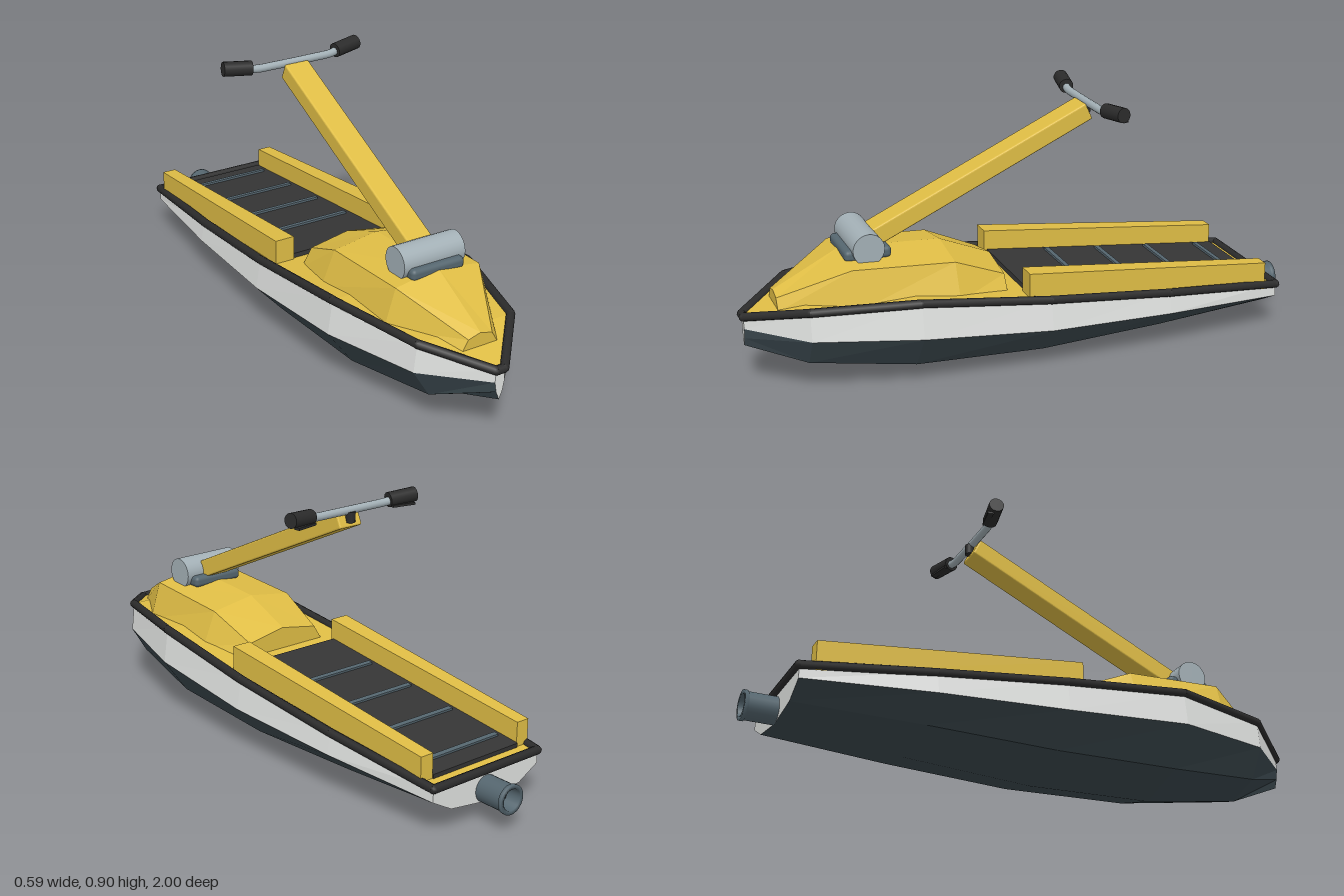
import * as THREE from 'three';
import { RoundedBoxGeometry } from 'three/addons/geometries/RoundedBoxGeometry.js';

const mat = (name, color, extra = {}) => {
  const m = new THREE.MeshStandardMaterial({ color, ...extra });
  m.name = name;
  return m;
};

// Skin through cross-sections ordered front to back, points counter-clockwise seen from +z.
function loft(sections, { closed = true, caps = true, skin = true } = {}) {
  const pos = [];
  const tri = (...pts) => pts.forEach((p) => pos.push(...p));
  const n = sections[0].length;
  if (skin) {
    for (let i = 0; i < sections.length - 1; i++) {
      for (let j = 0; j < (closed ? n : n - 1); j++) {
        const k = (j + 1) % n;
        const [a, b, c, d] = [sections[i][j], sections[i][k], sections[i + 1][k], sections[i + 1][j]];
        tri(a, c, b);
        tri(a, d, c);
      }
    }
  }
  if (caps) {
    const f = sections[0], r = sections[sections.length - 1];
    for (let j = 1; j < n - 1; j++) {
      tri(f[0], f[j], f[j + 1]);
      tri(r[0], r[j + 1], r[j]);
    }
  }
  const g = new THREE.BufferGeometry();
  g.setAttribute('position', new THREE.Float32BufferAttribute(pos, 3));
  g.computeVertexNormals();
  return g;
}

export function createModel() {
  const root = new THREE.Group();
  root.name = 'waterScooter';

  const yellow = mat('yellow', 0xdfbd45, { flatShading: true });
  const hullDark = mat('hullDark', 0x3b484e, { flatShading: true });
  const hullLight = mat('hullLight', 0xdfe1df, { flatShading: true });
  const black = mat('rubberBlack', 0x2b2b2b);
  const matGrey = mat('matGrey', 0x353535);
  const steel = mat('steel', 0xa3b0b6);
  const slate = mat('slate', 0x55666f);

  const add = (name, geo, material, x = 0, y = 0, z = 0, parent = root) => {
    const m = new THREE.Mesh(geo, material);
    m.name = name;
    m.position.set(x, y, z);
    parent.add(m);
    return m;
  };
  const V = (x, y, z) => new THREE.Vector3(x, y, z);
  // Cylinder between two points
  const rod = (name, a, b, r, material, sides = 16) => {
    const d = b.clone().sub(a);
    const m = add(name, new THREE.CylinderGeometry(r, r, d.length(), sides), material);
    m.position.copy(a).addScaledVector(d, 0.5);
    m.quaternion.setFromUnitVectors(V(0, 1, 0), d.normalize());
    return m;
  };

  // Hull stations: z, keel y, bilge x y, chine x y, deck edge x y
  const stations = [
    [0.985, 0.155, 0.012, 0.185, 0.018, 0.22, 0.015, 0.262],
    [0.8, 0.075, 0.13, 0.115, 0.19, 0.213, 0.178, 0.312],
    [0.45, 0.02, 0.19, 0.075, 0.283, 0.203, 0.265, 0.324],
    [0, 0.003, 0.2, 0.06, 0.295, 0.166, 0.278, 0.272],
    [-0.45, 0.028, 0.185, 0.072, 0.275, 0.148, 0.262, 0.222],
    [-0.89, 0.065, 0.15, 0.085, 0.23, 0.13, 0.228, 0.175],
  ];
  const strip = (fn) => stations.map(([z, ...s]) => fn(...s).map(([x, y]) => [x, y, z]));
  const open = { closed: false, caps: false };
  add('hullBottom', loft(strip((k, bx, by, cx, cy) =>
    [[-cx, cy], [-bx, by], [0, k], [bx, by], [cx, cy]]), open), hullDark);
  add('hullSideLeft', loft(strip((k, bx, by, cx, cy, dx, dy) => [[cx, cy], [dx, dy]]), open), hullLight);
  add('hullSideRight', loft(strip((k, bx, by, cx, cy, dx, dy) => [[-dx, dy], [-cx, cy]]), open), hullLight);
  add('stemAndTransom', loft(strip((k, bx, by, cx, cy, dx, dy) =>
    [[0, k], [bx, by], [cx, cy], [dx, dy], [-dx, dy], [-cx, cy], [-bx, by]]), { skin: false }), hullLight);
  add('deck', loft(strip((k, bx, by, cx, cy, dx, dy) => [[dx, dy], [-dx, dy]]), open), yellow);

  // Rubber bumper around the deck edge
  const R = 0.015;
  const edge = stations.map((s) => V(s[6], s[7], s[0]));
  const loop = [...edge, ...edge.map((p) => V(-p.x, p.y, p.z)).reverse()];
  loop.forEach((p, i) => {
    rod('bumper', p, loop[(i + 1) % loop.length], R, black, 8);
    add('bumperJoint', new THREE.SphereGeometry(R, 8, 6), black, p.x, p.y, p.z);
  });

  // Hood stations: z, base x y, shoulder x y, ridge y
  const hood = [
    [0.88, 0.068, 0.285, 0.045, 0.325, 0.338],
    [0.65, 0.2, 0.3, 0.16, 0.43, 0.456],
    [0.3, 0.215, 0.29, 0.165, 0.41, 0.436],
    [0.12, 0.185, 0.27, 0.145, 0.335, 0.362],
  ];
  add('hood', loft(hood.map(([z, bx, by, sx, sy, ry]) =>
    [[-bx, by], [bx, by], [sx, sy], [0, ry], [-sx, sy]].map(([x, y]) => [x, y, z]))), yellow);

  // Side rails of the standing tray
  for (const s of [1, -1]) {
    const rail = [[0.07, 0.255, 0.265, 0.366], [-0.84, 0.235, 0.165, 0.265]].map(([z, out, lo, hi]) => {
      const [x0, x1] = s > 0 ? [0.185, out] : [-out, -0.185];
      return [[x0, lo, z], [x1, lo, z], [x1, hi, z], [x0, hi, z]];
    });
    add(s > 0 ? 'railLeft' : 'railRight', loft(rail), yellow);
  }

  // Tray mat with grip strips, sloping with the deck
  const tray = new THREE.Group();
  tray.name = 'tray';
  tray.position.set(0, 0.237, -0.392);
  tray.rotation.x = -Math.atan(0.11);
  root.add(tray);
  add('trayMat', new THREE.BoxGeometry(0.37, 0.016, 0.91), matGrey, 0, 0, 0, tray);
  for (const z of [-0.77, -0.56, -0.36, -0.16]) {
    add('gripStrip', new THREE.BoxGeometry(0.33, 0.009, 0.018), slate, 0, 0.011, z + 0.392, tray);
  }

  // Steering pole on its hinge
  add('hingePlate', new RoundedBoxGeometry(0.2, 0.04, 0.16, 3, 0.015), slate, 0, 0.452, 0.577);
  rod('hinge', V(-0.116, 0.475, 0.58), V(0.116, 0.475, 0.58), 0.054, steel, 24);
  const pole = add('steeringPole', new RoundedBoxGeometry(0.094, 0.062, 0.87, 2, 0.006), yellow, 0, 0.658, 0.165);
  pole.rotation.x = 0.432;

  // Handlebar, grips and levers
  const bar = new THREE.CatmullRomCurve3([
    V(-0.2, 0.875, -0.245), V(-0.15, 0.867, -0.234), V(-0.08, 0.866, -0.232),
    V(0.08, 0.866, -0.232), V(0.15, 0.867, -0.234), V(0.2, 0.875, -0.245)]);
  add('handlebar', new THREE.TubeGeometry(bar, 32, 0.014, 12), steel);
  rod('handlebarClamp', V(0, 0.826, -0.238), V(0, 0.862, -0.238), 0.016, black, 12);
  for (const s of [1, -1]) {
    rod('grip', V(s * 0.167, 0.873, -0.236), V(s * 0.266, 0.881, -0.256), 0.0255, black, 14);
    const lever = add('lever', new THREE.BoxGeometry(0.085, 0.008, 0.02), black, s * 0.21, 0.855, -0.262);
    lever.rotation.y = s * 0.2;
  }

  // Jet nozzle, hollow at the back
  const profile = [[0.028, 0.02], [0.036, 0.11], [0.05, 0.11], [0.05, 0.098], [0.046, 0.095], [0.046, 0]]
    .reverse().map(([r, y]) => new THREE.Vector2(r, y));
  const shell = slate.clone();
  shell.side = THREE.DoubleSide;
  const nozzle = add('nozzle', new THREE.LatheGeometry(profile, 24), shell, 0, 0.11, -0.89);
  nozzle.rotation.x = -Math.PI / 2;
  const throat = add('nozzleThroat', new THREE.CircleGeometry(0.034, 24), black, 0, 0.11, -0.95);
  throat.rotation.y = Math.PI;

  return root;
}
